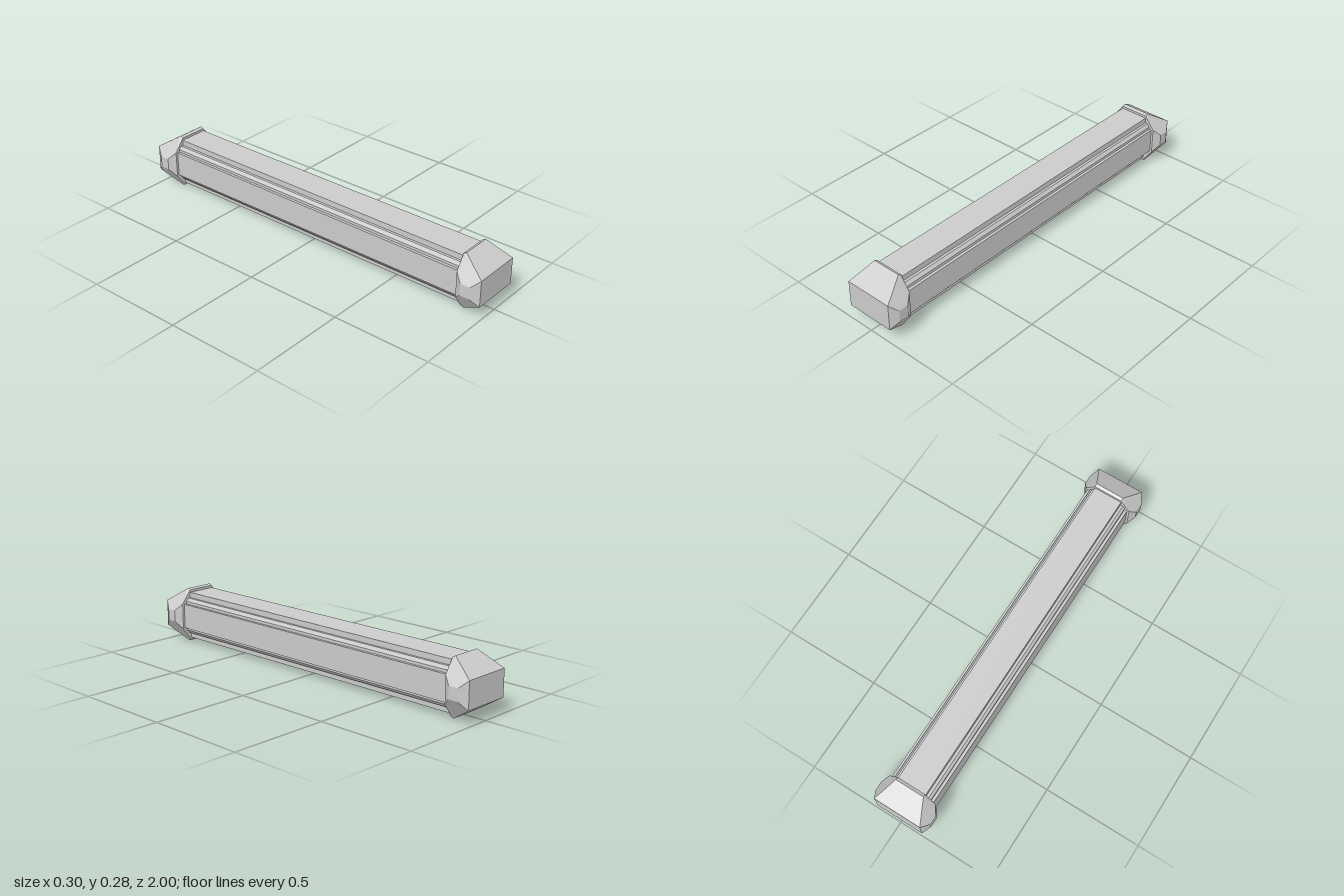
import * as THREE from 'three';
import { ConvexGeometry } from 'three/addons/geometries/ConvexGeometry.js';

const MID = 0.1425; // height of the beam's axis

// Mirror quarter-section points into all four quadrants around the axis
const mirror4 = (points) => points.flatMap(([x, y, z]) =>
  [[1, 1], [-1, 1], [-1, -1], [1, -1]].map(([sx, sy]) => new THREE.Vector3(sx * x, sy * y, z)));

export function createModel() {
  const group = new THREE.Group();
  const material = new THREE.MeshStandardMaterial({ color: 0xcccccc, flatShading: true });

  // Beam: stepped corner profile, mirrored to a closed section and extruded along z
  const corner = [
    [0.114, 0.064], [0.1, 0.064], [0.1, 0.078], [0.088, 0.094], [0.075, 0.094], [0.075, 0.1225],
  ];
  const flip = (points, sx, sy) => points.map(([x, y]) => [x * sx, y * sy]);
  const section = [
    ...corner,
    ...flip(corner, -1, 1).reverse(),
    ...flip(corner, -1, -1),
    ...flip(corner, 1, -1).reverse(),
  ].map(([x, y]) => new THREE.Vector2(x, y));
  const length = 1.76;
  const beamGeometry = new THREE.ExtrudeGeometry(new THREE.Shape(section), { depth: length, bevelEnabled: false });
  beamGeometry.translate(0, MID, -length / 2);
  const beam = new THREE.Mesh(beamGeometry, material);
  beam.name = 'beam';
  group.add(beam);

  // End caps: faceted convex blocks, tapering outwards to a flat end
  const capPoints = mirror4([
    [0.125, 0.0675, 1],       // flat end
    [0.15, 0.03, 0.96],       // side facet
    [0.15, 0.03, 0.91],
    [0.125, 0.0675, 0.873],   // inner face
    [0.075, 0.1425, 0.885],   // top and bottom rim
    [0.075, 0.135, 0.87],
  ]);
  for (const [name, turn] of [['frontCap', 0], ['backCap', Math.PI]]) {
    const cap = new THREE.Mesh(new ConvexGeometry(capPoints), material);
    cap.name = name;
    cap.position.y = MID;
    cap.rotation.y = turn;
    group.add(cap);
  }
  return group;
}
